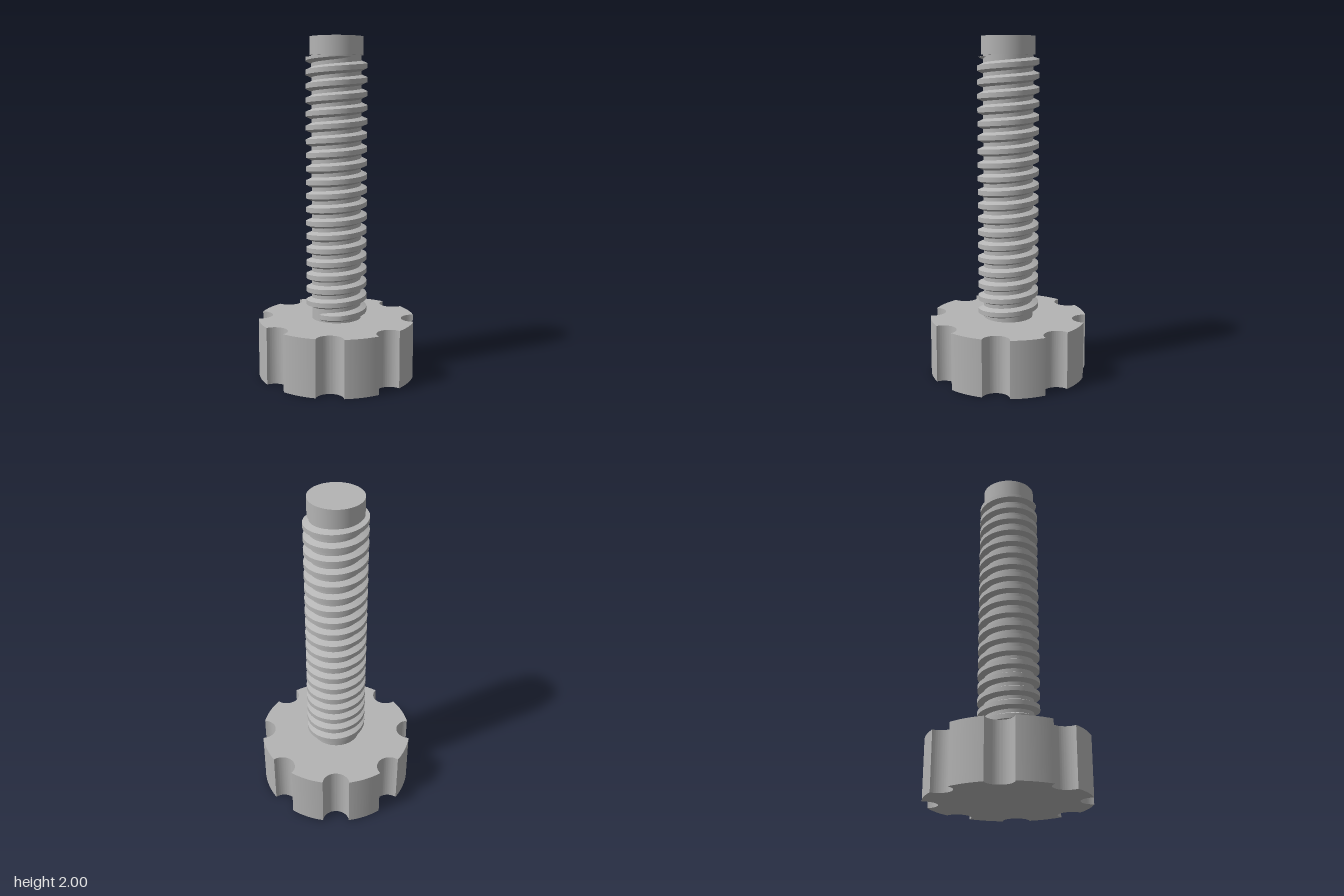
import * as THREE from 'three';
import { toCreasedNormals } from 'three/addons/utils/BufferGeometryUtils.js';

const KNOB_R = 0.468, KNOB_H = 0.34, NOTCH_R = 0.08, NOTCHES = 8;
const CORE_R = 0.146, CREST_R = 0.18, PITCH = 0.08;

// Round grip with scalloped finger notches
function knobGeometry() {
  const shape = new THREE.Shape();
  const half = 2 * Math.asin(NOTCH_R / (2 * KNOB_R));
  const step = (Math.PI * 2) / NOTCHES;
  for (let i = 0; i < NOTCHES; i++) {
    const a = i * step;
    const cx = KNOB_R * Math.cos(a), cy = KNOB_R * Math.sin(a);
    const angleTo = (b) => Math.atan2(KNOB_R * Math.sin(b) - cy, KNOB_R * Math.cos(b) - cx);
    shape.absarc(cx, cy, NOTCH_R, angleTo(a - half), angleTo(a + half), true);
    shape.absarc(0, 0, KNOB_R, a + half, a + step - half, false);
  }
  const geo = new THREE.ExtrudeGeometry(shape, { depth: KNOB_H, bevelEnabled: false, curveSegments: 20 });
  geo.rotateX(-Math.PI / 2);
  return toCreasedNormals(geo, 0.6);
}

// Right-handed trapezoidal ridge, fading out at both ends
function threadGeometry() {
  const turns = 19.25, perTurn = 64, steps = Math.round(turns * perTurn);
  const yStart = 0.365, yMin = 0.345, yMax = 1.885;
  const positions = [], index = [];
  const section = (i) => {
    const t = (i / perTurn) * Math.PI * 2;
    const fade = Math.min(1, i / 10, (steps - i) / 10);
    const y = yStart + (i / perTurn) * PITCH;
    const crest = CORE_R - 0.004 + (CREST_R - CORE_R + 0.004) * fade;
    return [[CORE_R - 0.004, -0.031], [crest, -0.014], [crest, 0.014], [CORE_R - 0.004, 0.031]].map(
      ([r, dy]) => [r * Math.sin(t), THREE.MathUtils.clamp(y + dy, yMin, yMax), r * Math.cos(t)]);
  };
  // Lower flank, crest and upper flank as separate strips for sharp edges
  for (let k = 0; k < 3; k++) {
    const base = positions.length / 3;
    for (let i = 0; i <= steps; i++) {
      const s = section(i);
      positions.push(...s[k], ...s[k + 1]);
      if (i < steps) {
        const a = base + i * 2;
        index.push(a, a + 2, a + 3, a, a + 3, a + 1);
      }
    }
  }
  const geo = new THREE.BufferGeometry();
  geo.setAttribute('position', new THREE.Float32BufferAttribute(positions, 3));
  geo.setIndex(index);
  geo.computeVertexNormals();
  return geo;
}

export function createModel() {
  const group = new THREE.Group();
  const grey = new THREE.MeshStandardMaterial({ color: 0xb4b4b4 });
  grey.name = 'grey';
  const add = (name, geo, y = 0) => {
    const mesh = new THREE.Mesh(geo, grey);
    mesh.name = name;
    mesh.position.y = y;
    group.add(mesh);
  };

  add('knob', knobGeometry());
  // Shaft core between knob and tip
  const coreH = 1.9 - KNOB_H;
  add('shaftCore', new THREE.CylinderGeometry(CORE_R, CORE_R, coreH, 64, 1, true), KNOB_H + coreH / 2);
  add('thread', threadGeometry());
  // Plain cylindrical tip
  add('tip', new THREE.CylinderGeometry(0.156, 0.156, 0.105, 64), 2 - 0.0525);
  return group;
}
